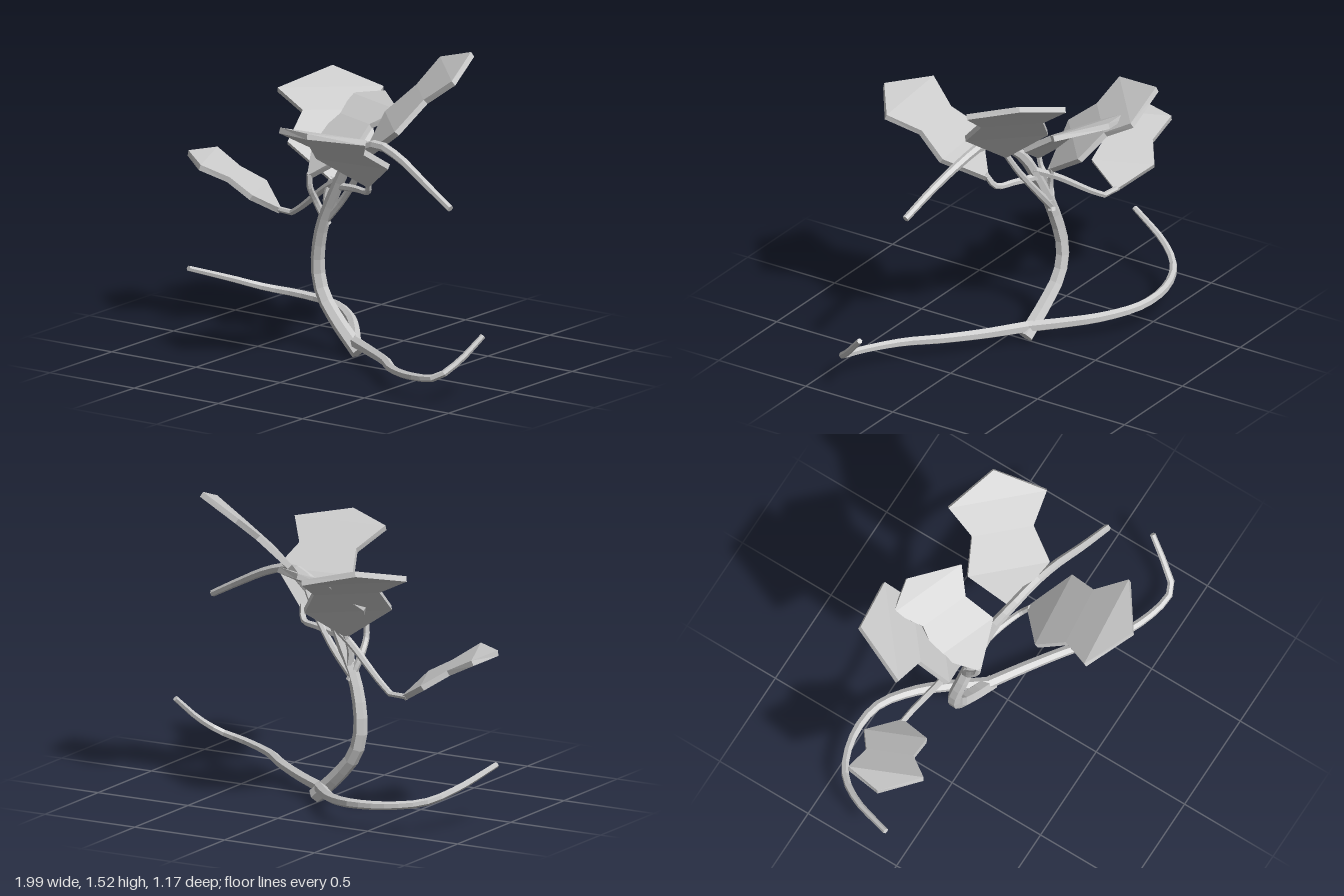
import * as THREE from 'three';

const V = (p) => new THREE.Vector3(...p);
const material = new THREE.MeshStandardMaterial({ color: 0xcccccc, flatShading: true });

// Six-sided branch along a curve, tapering from r0 to r1, with flat ends
function branch(name, points, r0, r1, segments = 16) {
  const sides = 6;
  const curve = new THREE.CatmullRomCurve3(points.map(V));
  const geo = new THREE.TubeGeometry(curve, segments, 1, sides);
  const pos = geo.attributes.position, normal = geo.attributes.normal;
  const n = new THREE.Vector3();
  for (let i = 0; i <= segments; i++) {
    const t = i <= 1 ? 0 : i >= segments - 1 ? 1 : i / segments;
    const r = i === 0 || i === segments ? 0 : r0 + (r1 - r0) * t;
    const centre = curve.getPointAt(t);
    for (let j = 0; j <= sides; j++) {
      const k = i * (sides + 1) + j;
      n.fromBufferAttribute(normal, k).multiplyScalar(r).add(centre);
      pos.setXYZ(k, n.x, n.y, n.z);
    }
  }
  geo.computeVertexNormals();
  const mesh = new THREE.Mesh(geo, material);
  mesh.name = name;
  return mesh;
}

// Thick folded leaf: five midrib points, a sideways direction and a width scale
function leaf(name, rib, sideways, scale) {
  const mid = rib.map(V), side = V(sideways).normalize();
  const widths = [0, 0.2, 0.15, 0.24, 0].map((w) => w * scale);
  const along = mid[4].clone().sub(mid[0]);
  if (new THREE.Vector3().crossVectors(along, side).y < 0) side.negate();

  const corner = (k, sign, face) => {
    const f = mid[Math.min(k + 1, 4)].clone().sub(mid[Math.max(k - 1, 0)]);
    const up = f.cross(side).normalize();
    return mid[k].clone().addScaledVector(side, sign * widths[k]).addScaledVector(up, face * 0.014);
  };
  const outline = [[0, 0], [1, -1], [2, -1], [3, -1], [4, 0], [3, 1], [2, 1], [1, 1]];
  const top = outline.map(([k, s]) => corner(k, s, 1));
  const bottom = outline.map(([k, s]) => corner(k, s, -1));

  const faces = [];
  for (const [a, b, c] of [[0, 1, 7], [1, 2, 6], [1, 6, 7], [2, 3, 5], [2, 5, 6], [3, 4, 5]]) {
    faces.push(top[a], top[b], top[c], bottom[a], bottom[c], bottom[b]);
  }
  for (let i = 0; i < 8; i++) {
    const j = (i + 1) % 8;
    faces.push(top[i], bottom[i], bottom[j], top[i], bottom[j], top[j]);
  }
  const geo = new THREE.BufferGeometry().setFromPoints(faces);
  geo.computeVertexNormals();
  const mesh = new THREE.Mesh(geo, material);
  mesh.name = name;
  return mesh;
}

export function createModel() {
  const model = new THREE.Group();
  model.name = 'plant';

  // Main stem, arching over at the top
  model.add(branch('mainStem', [
    [0.02, 0.025, -0.11], [-0.12, 0.15, -0.13], [-0.22, 0.27, -0.145], [-0.25, 0.4, -0.145],
    [-0.21, 0.6, -0.12], [-0.13, 0.77, -0.1], [-0.01, 0.97, -0.07], [0.1, 1.06, -0.03],
    [0.22, 1.1, 0], [0.37, 1.06, 0.03], [0.55, 0.975, 0.075], [0.725, 0.885, 0.11],
  ], 0.04, 0.017, 26));

  // Two long roots with upturned ends
  model.add(branch('leftRoot', [
    [0, 0.07, -0.11], [0.18, 0.075, 0.01], [0.37, 0.085, 0.15], [0.5, 0.09, 0.27],
    [0.7, 0.105, 0.37], [0.85, 0.13, 0.39], [0.92, 0.2, 0.31], [0.985, 0.315, 0.2],
  ], 0.03, 0.014, 20));
  model.add(branch('rightRoot', [
    [0, 0.07, -0.11], [-0.11, 0.085, -0.25], [-0.23, 0.1, -0.38], [-0.4, 0.12, -0.49],
    [-0.6, 0.135, -0.5], [-0.78, 0.16, -0.43], [-0.88, 0.21, -0.31], [-0.97, 0.295, -0.08],
  ], 0.03, 0.014, 20));

  // Leaf stalks
  const stalks = {
    frontStalk: [[-0.1, 0.83, -0.1], [0.04, 0.845, -0.06], [0.14, 0.855, -0.02], [0.17, 0.92, 0.02]],
    upperStalk: [[-0.18, 0.65, -0.12], [-0.08, 0.76, -0.11], [0.03, 0.9, -0.08], [0.11, 1.03, -0.05]],
    backStalk: [[-0.17, 0.68, -0.12], [-0.18, 0.76, -0.12], [-0.16, 0.86, -0.14]],
    middleStalk: [[-0.18, 0.62, -0.13], [-0.22, 0.74, -0.09], [-0.22, 0.82, -0.04], [-0.215, 0.89, -0.03]],
    rightStalk: [[-0.06, 0.88, -0.09], [-0.2, 0.8, -0.14], [-0.42, 0.645, -0.22], [-0.5, 0.605, -0.245], [-0.57, 0.615, -0.25]],
  };
  for (const [name, points] of Object.entries(stalks)) {
    model.add(branch(name, points, 0.02, 0.014, 12));
  }

  // Leaves
  model.add(leaf('frontLeaf', [
    [0.17, 0.895, 0.01], [0.18, 1.045, 0.155], [0.19, 1.14, 0.295], [0.205, 1.23, 0.435], [0.215, 1.26, 0.575],
  ], [1, 0, -0.1], 1));
  model.add(leaf('upperLeaf', [
    [0.1, 1.01, -0.05], [0.205, 1.18, -0.125], [0.31, 1.32, -0.225], [0.4, 1.43, -0.31], [0.49, 1.51, -0.39],
  ], [0.68, 0, 0.73], 1));
  model.add(leaf('backLeaf', [
    [-0.16, 0.84, -0.13], [-0.23, 1, -0.23], [-0.29, 1.12, -0.345], [-0.38, 1.2, -0.425], [-0.46, 1.27, -0.55],
  ], [0.77, 0, -0.64], 1.06));
  model.add(leaf('middleLeaf', [
    [-0.215, 0.87, -0.025], [-0.155, 1.01, -0.15], [-0.125, 1.11, -0.285], [-0.09, 1.175, -0.4], [-0.11, 1.205, -0.505],
  ], [0.93, 0, 0.35], 0.85));
  model.add(leaf('rightLeaf', [
    [-0.55, 0.605, -0.25], [-0.66, 0.7, -0.22], [-0.775, 0.77, -0.18], [-0.89, 0.84, -0.13], [-0.995, 0.855, -0.11],
  ], [0.4, 0, 0.92], 0.76));

  return model;
}
